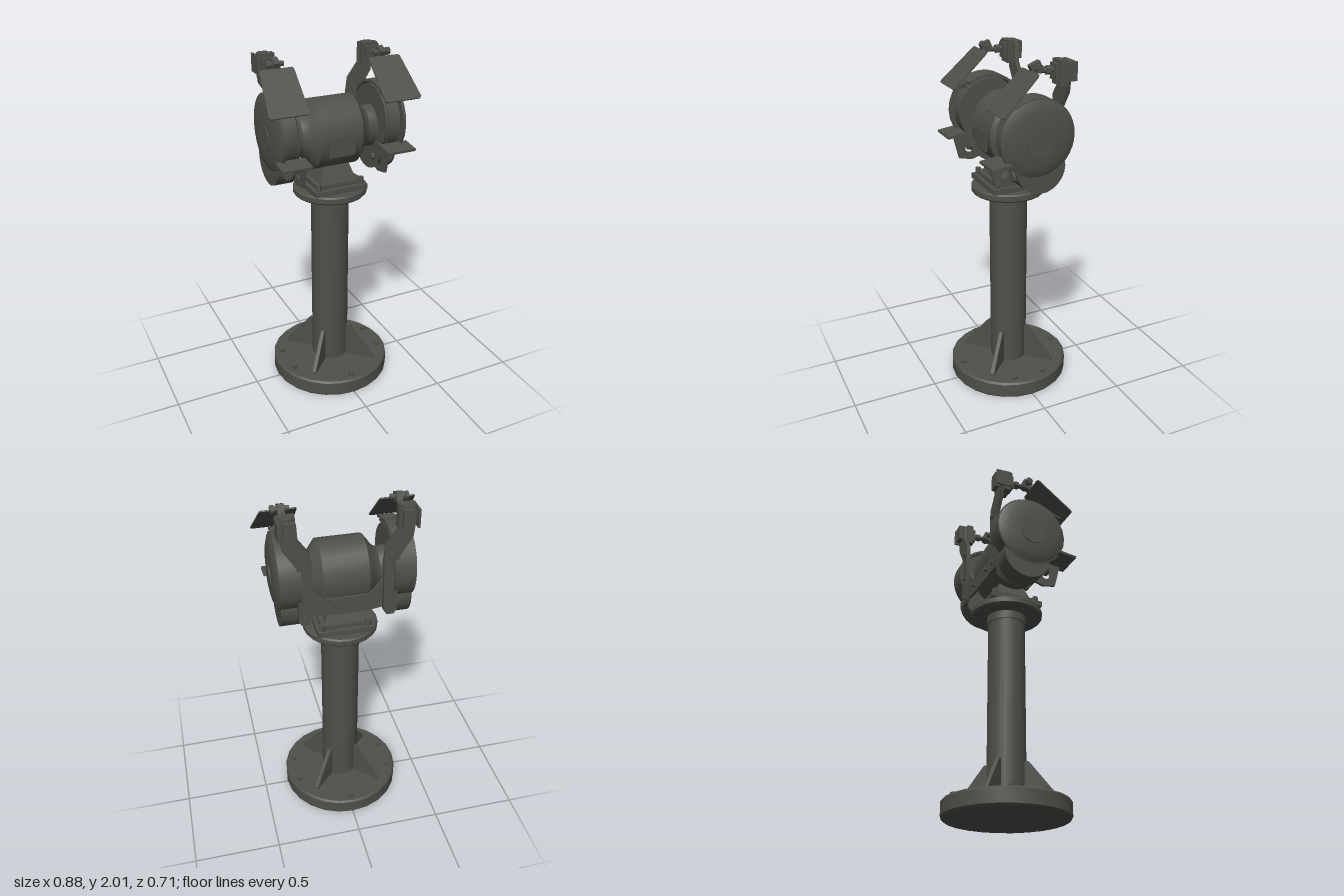
import * as THREE from 'three';
import { toCreasedNormals } from 'three/addons/utils/BufferGeometryUtils.js';

const SEG = 24;

export function createModel() {
  const model = new THREE.Group();
  model.name = 'pedestalGrinder';
  const iron = new THREE.MeshStandardMaterial({ color: 0x50504a });
  iron.name = 'darkIron';

  // Adds a mesh; side = -1 mirrors the geometry across x and restores the winding
  function add(parent, name, geo, side = 1) {
    const g = geo.index ? geo.toNonIndexed() : geo.clone();
    g.deleteAttribute('uv');
    if (side < 0) {
      const p = g.attributes.position;
      for (let i = 0; i < p.count; i += 3) {
        const a = new THREE.Vector3().fromBufferAttribute(p, i + 1);
        const b = new THREE.Vector3().fromBufferAttribute(p, i + 2);
        p.setXYZ(i + 1, b.x, b.y, b.z);
        p.setXYZ(i + 2, a.x, a.y, a.z);
      }
      g.scale(-1, 1, 1);
    }
    const mesh = new THREE.Mesh(toCreasedNormals(g, 0.6), iron);
    mesh.name = name;
    parent.add(mesh);
  }

  const box = (w, h, d, x, y, z, rx = 0) =>
    new THREE.BoxGeometry(w, h, d).rotateX(rx).translate(x, y, z);
  // Cylinder along a chosen axis, centred at x, y, z
  function rod(axis, r, len, x, y, z, seg = 12) {
    const g = new THREE.CylinderGeometry(r, r, len, seg);
    if (axis === 'x') g.rotateZ(-Math.PI / 2);
    if (axis === 'z') g.rotateX(Math.PI / 2);
    return g.translate(x, y, z);
  }
  const lathe = (pts, seg = SEG) =>
    new THREE.LatheGeometry(pts.map(([r, h]) => new THREE.Vector2(r, h)), seg);
  const poly = (pts) => new THREE.Shape(pts.map(([a, b]) => new THREE.Vector2(a, b)));
  const extrude = (shape, depth) =>
    new THREE.ExtrudeGeometry(shape, { depth, bevelEnabled: false, curveSegments: 14 });
  // Outline drawn in (z, y), solid between x0 and x1
  const plateX = (shape, x0, x1) => extrude(shape, x1 - x0).rotateY(-Math.PI / 2).translate(x1, 0, 0);

  // Pedestal: base, column, collar and top flange
  const stand = new THREE.Group();
  stand.name = 'stand';
  model.add(stand);
  add(stand, 'basePlate', lathe([[0, 0], [0.345, 0], [0.355, 0.012], [0.355, 0.09], [0.345, 0.1], [0, 0.1]]));
  add(stand, 'column', rod('y', 0.11, 1.11, 0, 0.65, 0, SEG));
  add(stand, 'columnCollar', rod('y', 0.118, 0.05, 0, 1.18, 0, SEG));
  add(stand, 'topFlange', lathe([[0, 1.203], [0.205, 1.203], [0.213, 1.212], [0.213, 1.24], [0.205, 1.248], [0, 1.248]]));
  for (let i = 0; i < 4; i++) {
    const rib = extrude(poly([[0.09, 0.09], [0.285, 0.09], [0.285, 0.115], [0.13, 0.31], [0.09, 0.31]]), 0.022);
    add(stand, 'rib', rib.translate(0, 0, -0.011).rotateY(Math.PI / 4 + i * Math.PI / 2));
  }
  for (const deg of [0, 72, 108, 180, 252, 288]) {
    const a = deg * Math.PI / 180;
    add(stand, 'anchorBolt', rod('y', 0.018, 0.024, 0.305 * Math.sin(a), 0.108, 0.305 * Math.cos(a), 6));
  }

  // Motor foot
  const motor = new THREE.Group();
  motor.name = 'motor';
  model.add(motor);
  add(motor, 'footPlate', box(0.32, 0.03, 0.32, 0, 1.263, 0));
  add(motor, 'footStep', box(0.27, 0.025, 0.27, 0, 1.29, 0));
  const foot = new THREE.CylinderGeometry(0.1, 0.165, 0.13, 4).rotateY(Math.PI / 4).translate(0, 1.35, 0);
  add(motor, 'foot', foot);
  for (const x of [-0.13, 0.13]) for (const z of [-0.13, 0.13]) {
    add(motor, 'footBolt', rod('y', 0.018, 0.04, x, 1.295, z, 6));
  }

  // Motor housing with tapered ends and bearing necks
  const half = [[0.165, 0.152], [0.13, 0.175], [0.115, 0.2], [0.12, 0.235], [0.12, 0.26]];
  const profile = [[0, -0.26], ...half.map(([r, h]) => [r, -h]).reverse(),
    [0.198, -0.125], [0.198, 0.125], ...half, [0, 0.26]];
  add(motor, 'motorHousing', lathe(profile, 28).rotateZ(-Math.PI / 2).scale(1, 1, 0.84).translate(0, 1.565, 0));
  add(motor, 'namePlate', box(0.155, 0.115, 0.009, -0.005, 1.53, 0.166));
  for (const x of [-0.07, 0.06]) for (const y of [1.485, 1.575]) {
    add(motor, 'plateScrew', rod('z', 0.006, 0.008, x, y, 0.171, 8));
  }
  // Rear saddle that carries both shield arms
  add(motor, 'rearSaddle', extrude(poly([[-0.25, 1.42], [-0.12, 1.4], [0.12, 1.4], [0.25, 1.42],
    [0.25, 1.58], [0.19, 1.58], [0.12, 1.5], [-0.12, 1.5], [-0.19, 1.58], [-0.25, 1.58]]), 0.015).translate(0, 0, -0.172));
  for (const x of [-0.1, 0.1]) add(motor, 'saddleBolt', rod('z', 0.014, 0.03, x, 1.45, -0.175, 6));

  // Rim of the wheel guard, open toward the front
  const rim = new THREE.Shape();
  rim.absarc(0, 1.61, 0.214, Math.PI * 0.3, Math.PI * 1.8, false);
  rim.absarc(0, 1.61, 0.198, Math.PI * 1.8, Math.PI * 0.3, true);
  const rest = poly([[0.03, 1.5], [0.235, 1.485], [0.2, 1.345], [0.12, 1.33], [0.03, 1.36]]);
  rest.holes.push(new THREE.Path().absarc(0.14, 1.4, 0.022, 0, Math.PI * 2, true));
  const arm = poly([[0.195, 1.4], [0.215, 1.37], [0.255, 1.37], [0.27, 1.4], [0.27, 1.72], [0.34, 1.83],
    [0.355, 1.97], [0.335, 2], [0.285, 2], [0.265, 1.97], [0.26, 1.88], [0.2, 1.8], [0.19, 1.72]]);
  // Face shield, hinged at its upper edge and wider at the lower one
  const shield = extrude(poly([[0.23, 0], [0.22, 0.01], [0.22, 0.275], [0.228, 0.285],
    [0.402, 0.285], [0.412, 0.275], [0.442, 0.012], [0.432, 0]]), 0.008)
    .rotateX(-0.815).translate(0, 1.755, 0.228);

  for (const side of [1, -1]) {
    const head = new THREE.Group();
    head.name = side > 0 ? 'leftWheelHead' : 'rightWheelHead';
    model.add(head);
    const put = (name, geo) => add(head, name, geo, side);

    // Grinding wheel and guard
    put('grindingWheel', rod('x', 0.188, 0.07, 0.305, 1.605, 0, SEG));
    put('guardRim', plateX(rim, 0.25, 0.365));
    put('innerGuardPlate', rod('x', 0.19, 0.014, 0.257, 1.61, 0, SEG));
    put('outerGuardCover', lathe([[0, 0.345], [0.214, 0.345], [0.214, 0.362], [0.2, 0.37], [0.155, 0.384], [0.08, 0.388], [0, 0.388]])
      .rotateZ(-Math.PI / 2).translate(0, 1.61, 0));
    put('hubCap', rod('x', 0.073, 0.01, 0.388, 1.585, 0, 16));
    put('dustOutlet', rod('x', 0.142, 0.11, 0.305, 1.442, -0.025, SEG));
    put('outletPlug', rod('z', 0.03, 0.02, 0.305, 1.4, 0.115, 12));
    put('sparkGuard', box(0.09, 0.012, 0.075, 0.305, 1.775, 0.165, 0.35));
    put('sparkGuardTab', box(0.08, 0.045, 0.012, 0.305, 1.77, 0.14));

    // Tool rest
    put('toolRestBracket', plateX(rest, 0.242, 0.256));
    put('toolRest', box(0.17, 0.014, 0.11, 0.31, 1.488, 0.218, 0.13));
    put('toolRestBolt', rod('x', 0.02, 0.02, 0.235, 1.4, 0.07, 6));

    // Shield arm, clamp and hinge
    put('shieldArm', extrude(arm, 0.024).translate(0, 0, -0.192));
    for (const y of [1.42, 1.56, 1.74]) put('armBolt', rod('z', 0.016, 0.045, 0.23, y, -0.18, 6));
    put('clampBack', box(0.06, 0.1, 0.025, 0.305, 1.94, -0.205));
    put('clampBlock', box(0.09, 0.13, 0.04, 0.31, 1.935, -0.145));
    put('clampFace', box(0.065, 0.085, 0.02, 0.31, 1.94, -0.115));
    put('clampSide', box(0.012, 0.1, 0.1, 0.357, 1.94, -0.17));
    put('hingeStem', rod('z', 0.014, 0.11, 0.31, 1.95, -0.06, 10));
    put('hingeNut', rod('z', 0.024, 0.025, 0.31, 1.95, -0.075, 6));
    put('hingeBlock', box(0.035, 0.055, 0.06, 0.31, 1.968, -0.005, 0.4));
    put('hingePin', rod('x', 0.014, 0.1, 0.315, 1.972, -0.005, 10));
    put('hingeKnob', rod('x', 0.022, 0.02, 0.352, 1.972, -0.005, 8));
    put('shield', shield);
  }
  return model;
}
